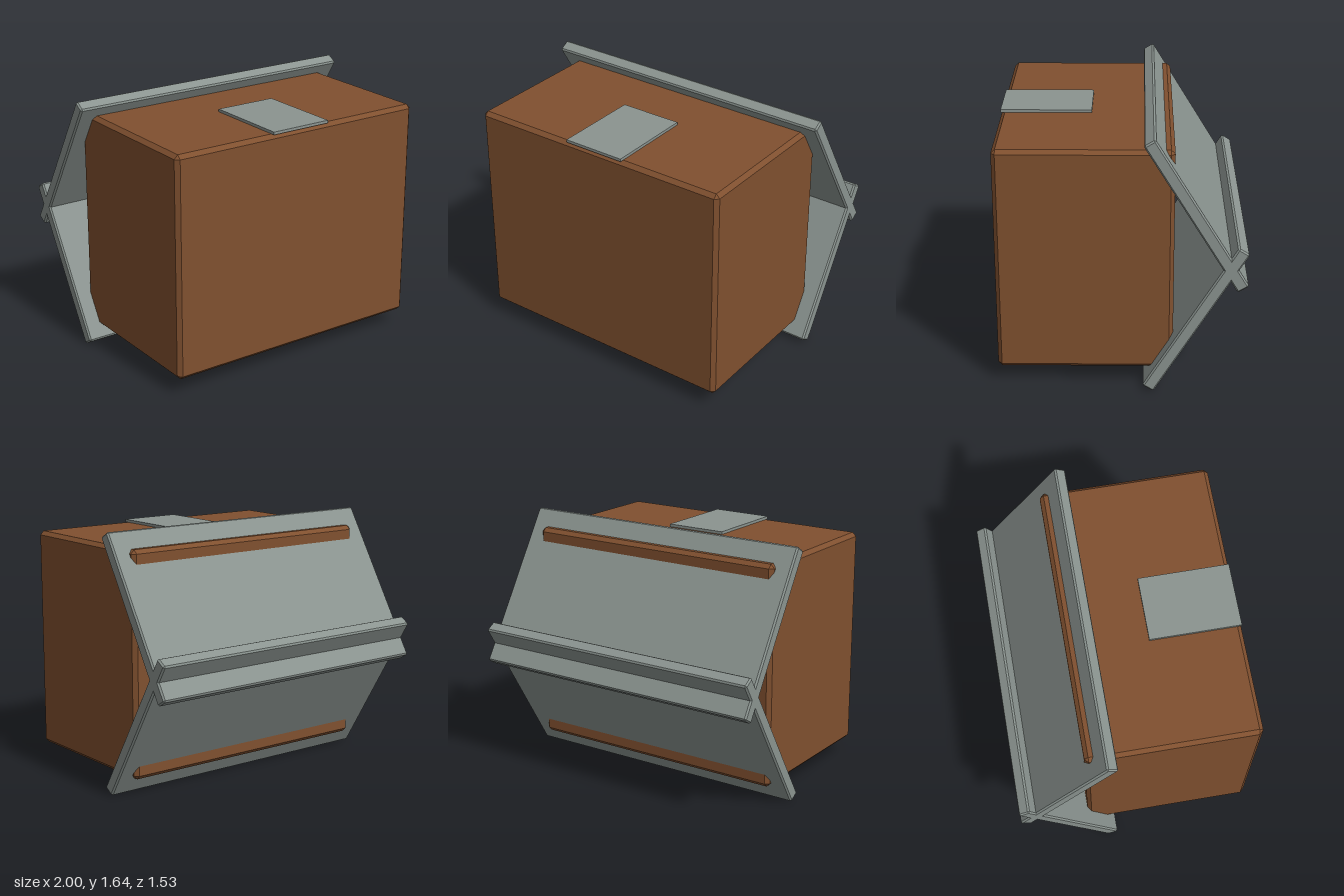
import * as THREE from 'three';
import { ConvexGeometry } from 'three/addons/geometries/ConvexGeometry.js';

// Box with a flat chamfer on every edge: three points around each corner
function chamferedBox(w, h, d, c) {
  const points = [];
  for (const sx of [-1, 1]) for (const sy of [-1, 1]) for (const sz of [-1, 1]) {
    const x = w / 2, y = h / 2, z = d / 2;
    points.push(
      new THREE.Vector3(sx * x, sy * (y - c), sz * (z - c)),
      new THREE.Vector3(sx * (x - c), sy * y, sz * (z - c)),
      new THREE.Vector3(sx * (x - c), sy * (y - c), sz * z)
    );
  }
  return new ConvexGeometry(points);
}

export function createModel() {
  const model = new THREE.Group();
  model.name = 'crate';
  const brown = new THREE.MeshStandardMaterial({ color: 0x80502f, flatShading: true });
  const grey = new THREE.MeshStandardMaterial({ color: 0x8b9490, flatShading: true });

  const add = (name, geometry, material, x, y, z) => {
    const mesh = new THREE.Mesh(geometry, material);
    mesh.name = name;
    mesh.position.set(x, y, z);
    model.add(mesh);
    return mesh;
  };

  // Main body
  add('body', chamferedBox(1.79, 1.435, 1.085, 0.025), brown, 0, 0.822, 0.223);

  // Two crossed flaps at the back, mirrored about mid height
  const flap = chamferedBox(2, 1.09, 0.08, 0.01);
  const tilt = THREE.MathUtils.degToRad(31.5);
  for (const side of [1, -1]) {
    const mesh = add(side > 0 ? 'upperFlap' : 'lowerFlap', flap, grey, 0, 0.822 + side * 0.34, -0.45);
    mesh.rotation.x = side * tilt;
  }

  // Thin strip lying on top at the front
  add('topStrip', new THREE.BoxGeometry(0.41, 0.018, 0.575), grey, 0, 1.549, 0.48);

  return model;
}
